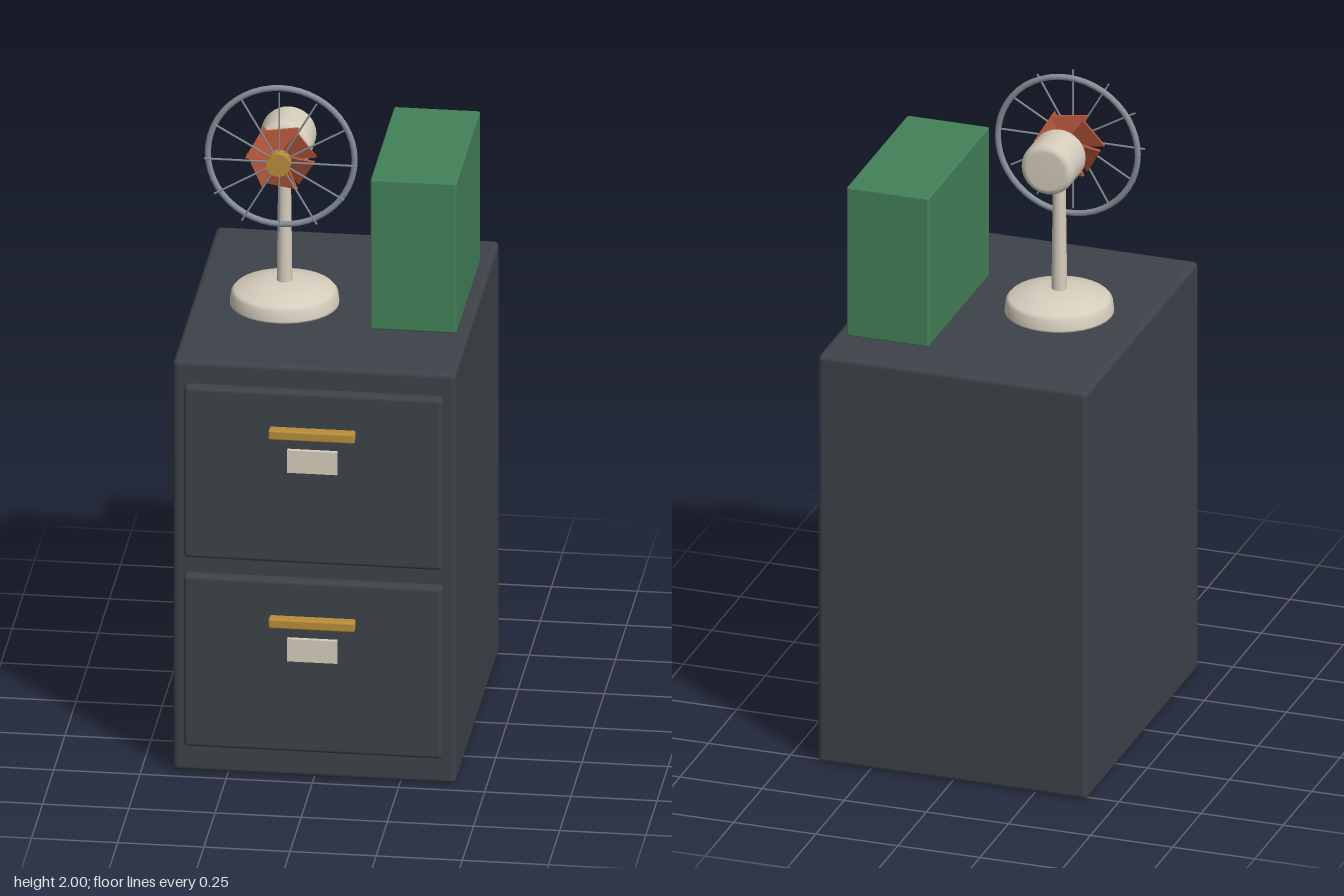
import * as THREE from 'three';
import { RoundedBoxGeometry } from 'three/addons/geometries/RoundedBoxGeometry.js';

export function createModel() {
  const mat = (name, color) => Object.assign(new THREE.MeshStandardMaterial({ color }), { name });
  const slate = mat('slate paint', 0x3d434a);
  const brass = mat('brass', 0xb88d3a);
  const cream = mat('cream enamel', 0xd6cdbd);
  const green = mat('green box', 0x438159);
  const steel = mat('steel', 0x858d97);
  const rust = mat('rust blade', 0xb4553a);

  const model = new THREE.Group();
  model.name = 'filingCabinetWithFan';

  const add = (parent, name, geometry, material, x = 0, y = 0, z = 0) => {
    const mesh = new THREE.Mesh(geometry, material);
    mesh.name = name;
    mesh.position.set(x, y, z);
    parent.add(mesh);
    return mesh;
  };
  const rounded = (w, h, d, r) => new RoundedBoxGeometry(w, h, d, 3, r);
  const lathe = (points, segments = 32) =>
    new THREE.LatheGeometry(points.map(([r, y]) => new THREE.Vector2(r, y)), segments);

  // Cabinet body
  add(model, 'cabinetBody', rounded(0.82, 1.285, 0.985, 0.015), slate, 0, 0.6475, -0.0325);

  // Two drawers, each with a front, a pull and a label plate
  for (const [i, y] of [0.362, 0.953].entries()) {
    const drawer = new THREE.Group();
    drawer.name = i ? 'upperDrawer' : 'lowerDrawer';
    drawer.position.y = y;
    add(drawer, 'drawerFront', rounded(0.75, 0.536, 0.05, 0.012), slate, 0, 0, 0.465);
    add(drawer, 'drawerPull', rounded(0.25, 0.03, 0.036, 0.006), brass, 0, 0.145, 0.506);
    add(drawer, 'labelPlate', new THREE.BoxGeometry(0.145, 0.07, 0.015), cream, 0, 0.057, 0.496);
    model.add(drawer);
  }

  // Storage box on top
  add(model, 'storageBox', rounded(0.25, 0.47, 0.535, 0.006), green, 0.25, 1.525, -0.1025);

  // Desk fan
  const fan = new THREE.Group();
  fan.name = 'deskFan';
  fan.position.set(-0.145, 1.29, 0);
  model.add(fan);

  add(fan, 'fanBase', lathe([
    [0, 0], [0.158, 0], [0.158, 0.005], [0.154, 0.035], [0.145, 0.045],
    [0.1, 0.06], [0.06, 0.07], [0, 0.072],
  ]), cream);
  add(fan, 'fanPole', new THREE.CylinderGeometry(0.018, 0.023, 0.4, 20), cream, 0, 0.25, 0);

  // Everything on the fan's axis
  const head = new THREE.Group();
  head.name = 'fanHead';
  head.position.y = 0.49;
  fan.add(head);

  const motor = add(head, 'motorHousing', lathe([
    [0, -0.12], [0.058, -0.12], [0.068, -0.118], [0.077, -0.109], [0.08, -0.098],
    [0.08, -0.002], [0.077, 0.009], [0.068, 0.018], [0.058, 0.02], [0, 0.02],
  ]), cream);
  motor.rotation.x = Math.PI / 2;

  // Guard ring and spokes
  add(head, 'guardRing', new THREE.TorusGeometry(0.213, 0.009, 10, 48), steel, 0, 0, 0.075);
  const spokeGeometry = new THREE.CylinderGeometry(0.003, 0.003, 0.218, 6);
  spokeGeometry.translate(0, 0.109, 0);
  for (let i = 0; i < 12; i++) {
    add(head, 'guardSpoke', spokeGeometry, steel, 0, 0, 0.12).rotation.z = (i * Math.PI) / 6;
  }

  // Six pitched blades, wider toward the tip
  const bladeShape = new THREE.Shape([
    [-0.018, 0.015], [0.018, 0.015], [0.054, 0.088], [-0.054, 0.088],
  ].map(([x, y]) => new THREE.Vector2(x, y)));
  const bladeGeometry = new THREE.ExtrudeGeometry(bladeShape, { depth: 0.008, bevelEnabled: false });
  bladeGeometry.translate(0, 0, -0.004);
  bladeGeometry.rotateY(0.36);
  for (let i = 0; i < 6; i++) {
    add(head, 'fanBlade', bladeGeometry, rust, 0, 0, 0.086).rotation.z = (i * Math.PI) / 3;
  }

  // Hub cap
  const hub = add(head, 'hubCap', new THREE.CylinderGeometry(0.035, 0.035, 0.036, 24), brass, 0, 0, 0.128);
  hub.rotation.x = Math.PI / 2;

  return model;
}
